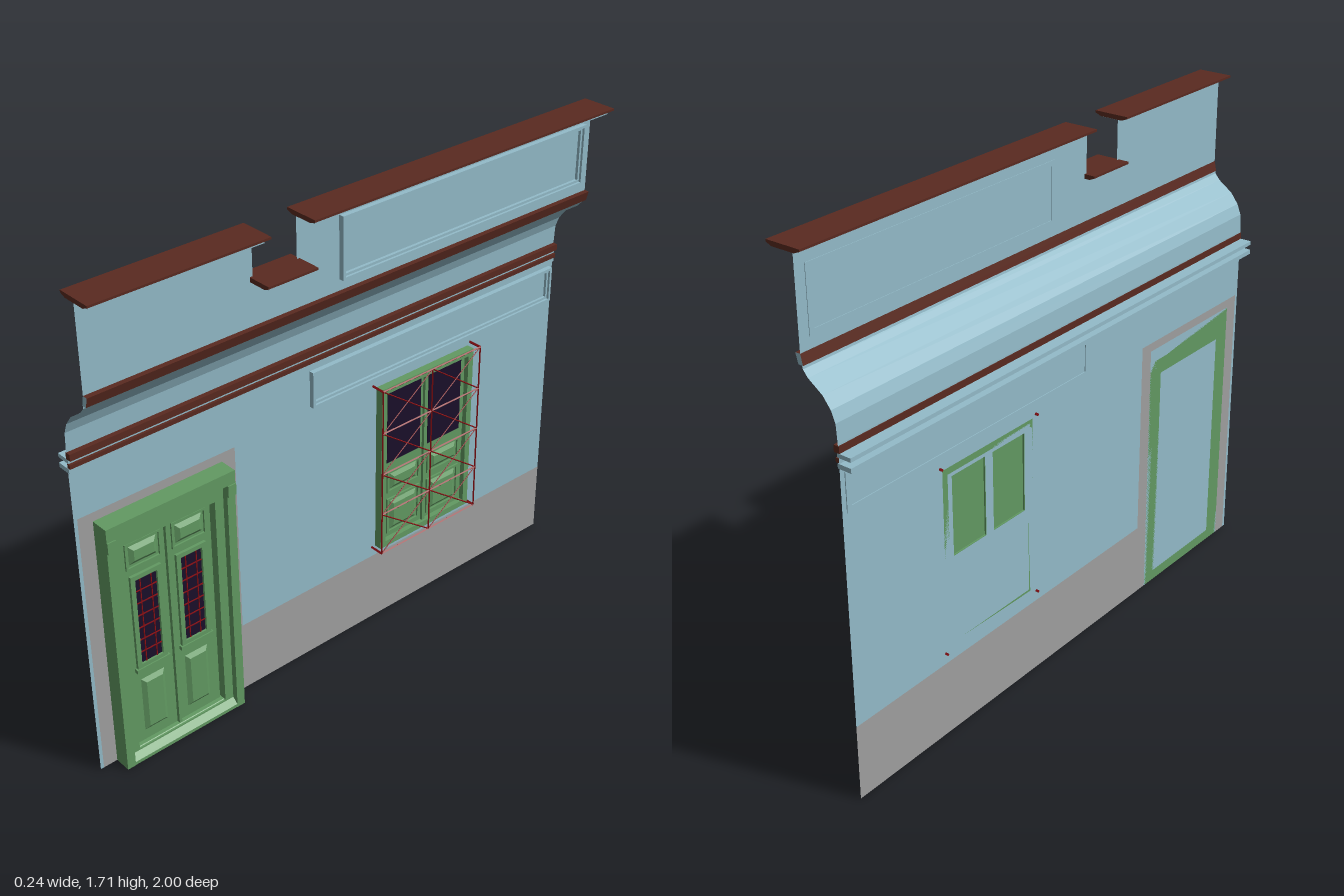
import * as THREE from 'three';

const mat = (color) => new THREE.MeshStandardMaterial({ color, side: THREE.DoubleSide, flatShading: true });

export function createModel() {
  const group = new THREE.Group();
  group.name = 'houseFacade';
  const blue = mat(0x93bbc9), green = mat(0x629a62), brown = mat(0x5a2a20);
  const grey = mat(0xa0a0a0), glass = mat(0x1a0f2a), red = mat(0x8b0f14);
  const WALL = -0.08, PARAPET = 0.038, END = 0.987;

  const add = (name, geo, m, parent = group) => {
    const mesh = new THREE.Mesh(geo, m);
    mesh.name = name;
    parent.add(mesh);
    return mesh;
  };
  const sub = (name) => {
    const g = new THREE.Group();
    g.name = name;
    group.add(g);
    return g;
  };
  // axis-aligned block given by its limits
  const box = (name, m, [x0, x1], [y0, y1], [z0, z1], parent) => {
    const g = new THREE.BoxGeometry(x1 - x0, y1 - y0, Math.abs(z1 - z0));
    g.translate((x0 + x1) / 2, (y0 + y1) / 2, (z0 + z1) / 2);
    return add(name, g, m, parent);
  };
  // outline in the wall plane, from [z, y] points
  const outline = (pts, C = THREE.Shape) => new C(pts.map(([z, y]) => new THREE.Vector2(-z, y)));
  const rect = ([z0, z1], [y0, y1]) => [[z0, y0], [z1, y0], [z1, y1], [z0, y1]];
  const shape = (pts, holes = []) => {
    const s = outline(pts);
    s.holes = holes.map((h) => outline(h, THREE.Path));
    return s;
  };
  const sheet = (name, m, x, pts, holes, parent) =>
    add(name, new THREE.ShapeGeometry(shape(pts, holes)).rotateY(Math.PI / 2).translate(x, 0, 0), m, parent);
  const slab = (name, m, [x0, x1], pts, holes, parent) =>
    add(name, new THREE.ExtrudeGeometry(shape(pts, holes), { depth: x1 - x0, bevelEnabled: false })
      .rotateY(Math.PI / 2).translate(x0, 0, 0), m, parent);
  const frame = (name, m, xs, [z0, z1], [y0, y1], w, parent) =>
    slab(name, m, xs, rect([z0, z1], [y0, y1]), [rect([z0 + w, z1 - w], [y0 + w, y1 - w])], parent);
  // [x, y] profile run along z
  const molding = (name, m, pts, [z0, z1], parent) =>
    add(name, new THREE.ExtrudeGeometry(new THREE.Shape(pts.map((p) => new THREE.Vector2(...p))),
      { depth: z1 - z0, bevelEnabled: false }).translate(0, 0, z0), m, parent);
  // raised panel with sloping sides
  const raised = (name, m, x, d, [z0, z1], [y0, y1], parent) => {
    const g = new THREE.BoxGeometry(d, y1 - y0, z1 - z0), p = g.attributes.position, inset = 0.014;
    for (let i = 0; i < p.count; i++) {
      if (p.getX(i) > 0) {
        p.setY(i, p.getY(i) - Math.sign(p.getY(i)) * inset);
        p.setZ(i, p.getZ(i) - Math.sign(p.getZ(i)) * inset);
      }
    }
    add(name, g.translate(x + d / 2, (y0 + y1) / 2, (z0 + z1) / 2), m, parent);
  };

  // lower wall with plinth and door surround
  const doorOuter = rect([0.41, 0.975], [0, 0.945]), doorInner = rect([0.46, 0.925], [0, 0.915]);
  const panes = [[-0.36, -0.21], [-0.545, -0.395]], paneY = [0.62, 0.89];
  sheet('wall', blue, WALL,
    [[-END, 0.26], [0.41, 0.26], [0.41, 0.945], [0.975, 0.945], [0.975, 0], [END, 0], [END, 1.18], [-END, 1.18]],
    panes.map((z) => rect(z, paneY)));
  sheet('plinth', grey, WALL, rect([-END, 0.41], [0, 0.26]));
  sheet('doorSurround', grey, WALL, [
    ...[[0.41, 0], [0.46, 0], [0.46, 0.915], [0.925, 0.915], [0.925, 0]], [0.975, 0], [0.975, 0.945], [0.41, 0.945]]);
  sheet('wallBehindDoor', blue, WALL, doorInner);

  // cove swinging out to the parapet
  const coveProfile = [[WALL, 1.17], [-0.076, 1.24], [-0.062, 1.275], [-0.035, 1.31], [0.015, 1.345], [0.032, 1.365], [PARAPET, 1.4]];
  const coveGeo = new THREE.PlaneGeometry(1, 1, 1, coveProfile.length - 1);
  const cp = coveGeo.attributes.position;
  for (let i = 0; i < cp.count; i++) {
    const [x, y] = coveProfile[coveProfile.length - 1 - Math.floor(i / 2)];
    cp.setXYZ(i, x, y, i % 2 ? -END : END);
  }
  coveGeo.computeVertexNormals();
  add('cove', coveGeo, blue);

  // parapet with its notch
  sheet('parapet', blue, PARAPET, [[-END, 1.4], [END, 1.4], [END, 1.695], [0.41, 1.695],
    [0.41, 1.55], [0.25, 1.55], [0.25, 1.695], [-END, 1.695]]);

  // coping caps, each with a light underside moulding
  for (const [y, z0, z1] of [[1.71, 0.405, 1], [1.71, -1, 0.25], [1.563, 0.24, 0.42]]) {
    molding('copingCap', brown, [[0, y], [0, y - 0.007], [0.02, y - 0.015], [0.1, y - 0.015], [0.12, y - 0.007], [0.12, y]], [z0, z1]);
    box('copingUnderside', blue, [0.03, 0.105], [y - 0.02, y - 0.015], [z0 + 0.012, z1 - 0.012]);
  }

  // string courses
  const bandEnds = [blue, brown];
  molding('upperBand', bandEnds, [[0.03, 1.375], [0.047, 1.375], [0.056, 1.408], [0.038, 1.408]], [-END, END]);
  box('middleBand', brown, [-0.083, -0.063], [1.153, 1.175], [-END, END]);
  box('lowerBand', brown, [WALL, -0.068], [1.124, 1.138], [-END, END]);
  box('upperLedge', blue, [-0.123, -0.074], [1.14, 1.153], [-END, END]);
  box('lowerLedge', blue, [-0.123, -0.074], [1.107, 1.122], [-END, END]);

  // raised frames on the wall
  for (const [name, x0, zs, ys] of [
    ['parapetPanel', 0.036, [-0.95, 0.09], [1.445, 1.65]],
    ['wallPanel', -0.083, [-0.97, 0.11], [0.965, 1.092]]]) {
    frame(name + 'OuterFrame', blue, [x0, x0 + 0.02], zs, ys, 0.009);
    frame(name + 'InnerFrame', blue, [x0, x0 + 0.012], [zs[0] + 0.009, zs[1] - 0.009], [ys[0] + 0.009, ys[1] - 0.009], 0.008);
  }

  // door
  const door = sub('door');
  for (const [z0, z1] of [[0.46, 0.49], [0.895, 0.925]]) {
    box('doorJamb', green, [WALL, -0.021], [0, 0.83], [z0, z1], door);
    box('jambCapital', green, [WALL, -0.014], [0.83, 0.87], [z0, z1], door);
  }
  box('doorHeader', green, [WALL, -0.018], [0.87, 0.915], [0.46, 0.925], door);
  slab('doorInnerFrame', green, [WALL, -0.042], rect([0.49, 0.895], [0, 0.87]), [rect([0.522, 0.862], [0.035, 0.815])], door);
  molding('doorSill', green, [[WALL, 0], [-0.022, 0], [-0.022, 0.012], [-0.05, 0.037], [WALL, 0.037]], [0.49, 0.895], door);
  const leafX = -0.064;
  for (const c of [0.61, 0.778]) {
    const span = (h) => [c - h, c + h];
    box('doorLeaf', green, [WALL + 0.002, leafX], [0.035, 0.815], span(0.083), door);
    frame('topPanelFrame', green, [leafX, leafX + 0.006], span(0.064), [0.705, 0.8], 0.007, door);
    raised('topPanel', green, leafX, 0.01, span(0.05), [0.72, 0.785], door);
    frame('glassFrame', green, [leafX, leafX + 0.01], span(0.056), [0.33, 0.68], 0.016, door);
    box('doorGlass', glass, [leafX, leafX + 0.003], [0.342, 0.664], span(0.039), door);
    box('glassLedge', green, [leafX, leafX + 0.014], [0.318, 0.332], span(0.062), door);
    raised('bottomPanel', green, leafX, 0.01, span(0.044), [0.075, 0.28], door);
    for (let i = 1; i <= 6; i++) {
      const y = 0.342 + i * 0.046;
      box('glassBar', red, [leafX + 0.003, leafX + 0.006], [y - 0.0015, y + 0.0015], span(0.039), door);
    }
    for (const o of [-0.02, 0.02])
      box('glassUpright', red, [leafX + 0.003, leafX + 0.006], [0.342, 0.664], [c + o - 0.0015, c + o + 0.0015], door);
  }
  box('meetingStile', green, [leafX, leafX + 0.012], [0.035, 0.815], [0.689, 0.699], door);

  // window with two shutters
  const win = sub('window');
  frame('windowFrame', green, [WALL, -0.052], [-0.585, -0.17], [0.297, 0.924], 0.022, win);
  slab('shutters', green, [WALL + 0.002, -0.07], rect([-0.563, -0.192], [0.319, 0.902]), panes.map((z) => rect(z, paneY)), win);
  panes.forEach(([z0, z1]) => {
    sheet('paneBacking', green, -0.073, rect([z0, z1], paneY), [], win);
    box('windowGlass', glass, [-0.072, -0.068], paneY, [z0, z1], win);
    for (const [y0, y1] of [[0.5, 0.585], [0.335, 0.475]]) {
      frame('shutterPanelFrame', green, [-0.07, -0.064], [z0, z1], [y0, y1], 0.008, win);
      raised('shutterPanel', green, -0.07, 0.009, [z0 + 0.014, z1 - 0.014], [y0 + 0.012, y1 - 0.012], win);
    }
  });
  box('meetingRail', green, [-0.07, -0.06], [0.319, 0.902], [-0.384, -0.371], win);

  // iron window grille
  const grille = sub('grille');
  const bar = (a, b, r = 0.0022) => {
    const p = new THREE.Vector3(...a), q = new THREE.Vector3(...b), d = q.clone().sub(p);
    const m = add('grilleBar', new THREE.CylinderGeometry(r, r, d.length(), 4), red, grille);
    m.position.copy(p).lerp(q, 0.5);
    m.quaternion.setFromUnitVectors(new THREE.Vector3(0, 1, 0), d.normalize());
  };
  const gx = -0.031, zs = [-0.155, -0.375, -0.595], ys = [0.297, 0.457, 0.616, 0.775, 0.934];
  zs.forEach((z) => bar([gx, ys[0], z], [gx, ys[4], z], 0.0035));
  ys.forEach((y) => bar([gx, y, zs[0]], [gx, y, zs[2]], 0.0035));
  for (let i = 0; i < 2; i++) for (let j = 0; j < 4; j++) {
    bar([gx, ys[j], zs[i]], [gx, ys[j + 1], zs[i + 1]]);
    bar([gx, ys[j + 1], zs[i]], [gx, ys[j], zs[i + 1]]);
  }
  for (const z of [zs[0], zs[2]]) for (const y of [ys[0], ys[4]]) bar([-0.09, y, z], [gx, y, z], 0.005);

  return group;
}
